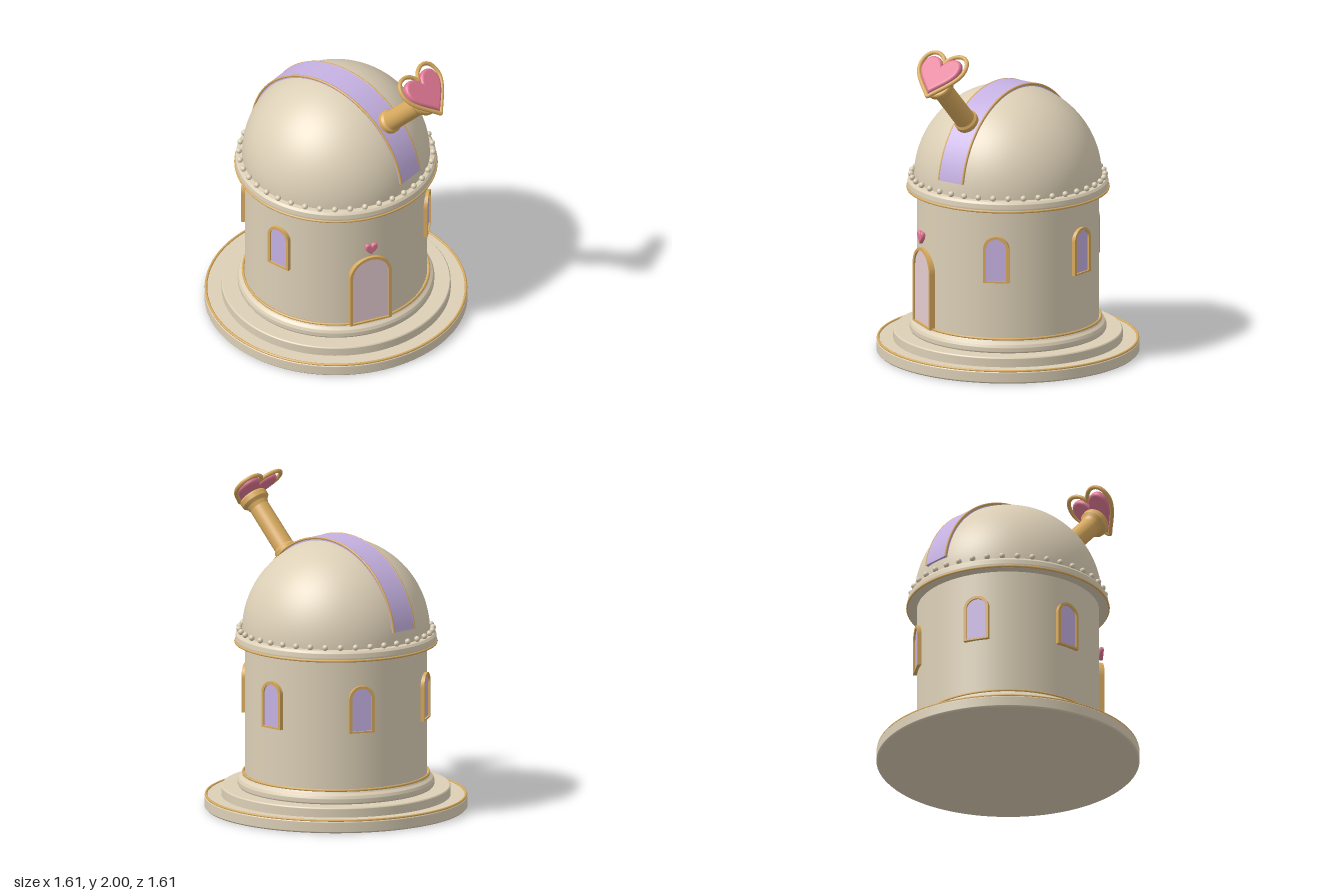
import * as THREE from 'three';

const mat = (name, color) => new THREE.MeshStandardMaterial({ name, color });

export function createModel() {
  const stone = mat('warm stone', 0xdccfb6);
  const gold = mat('gold', 0xd8aa5e);
  const lavender = mat('lavender', 0xc5b1e2);
  const rose = mat('rose', 0xdf7893);
  const blush = mat('blush door', 0xe4cbd0);

  const model = new THREE.Group();
  model.name = 'observatory';
  const add = (parent, name, geometry, material) => {
    const mesh = new THREE.Mesh(geometry, material);
    mesh.name = name;
    parent.add(mesh);
    return mesh;
  };
  // Lathe from [radius, y] pairs; each band keeps its own hard edge
  const turned = (parent, name, profile, material) => {
    const pts = [];
    profile.forEach(([r, y], i) => {
      const [pr, py] = profile[i - 1] ?? [r, y];
      // short guard segments hold the shading flat beside corners
      if (i) {
        const len = Math.hypot(r - pr, y - py), e = Math.min(0.002 / len, 0.3);
        pts.push(new THREE.Vector2(pr + (r - pr) * e, py + (y - py) * e));
        pts.push(new THREE.Vector2(r - (r - pr) * e, y - (y - py) * e));
      }
      pts.push(new THREE.Vector2(r, y));
    });
    return add(parent, name, new THREE.LatheGeometry(pts, 96), material);
  };
  const ring = (name, radius, y, tube) => {
    const mesh = add(model, name, new THREE.TorusGeometry(radius, tube, 8, 96), gold);
    mesh.rotation.x = Math.PI / 2;
    mesh.position.y = y;
  };

  // Stepped base
  turned(model, 'lower step', [[0, 0], [0.795, 0], [0.803, 0.008], [0.803, 0.068], [0.795, 0.077], [0, 0.077]], stone);
  turned(model, 'upper step', [[0.7, 0.07], [0.7, 0.13], [0.694, 0.137], [0, 0.137]], stone);
  turned(model, 'plinth', [[0.592, 0.13], [0.6, 0.145], [0.6, 0.17], [0.592, 0.188], [0.575, 0.202], [0.568, 0.215], [0, 0.215]], stone);
  ring('base trim', 0.793, 0.077, 0.008);
  ring('plinth trim', 0.567, 0.217, 0.008);

  // Round wall and cornice
  add(model, 'wall', new THREE.CylinderGeometry(0.556, 0.556, 0.84, 96, 1, true), stone).position.y = 0.62;
  turned(model, 'cornice', [[0.55, 1.022], [0.612, 1.025], [0.615, 1.05], [0.612, 1.078], [0.6, 1.092], [0.56, 1.097]], stone);
  ring('cornice trim', 0.613, 1.033, 0.008);

  // Dome with a circle of beads
  const domeY = 1.1;
  add(model, 'dome', new THREE.SphereGeometry(0.573, 96, 32, 0, Math.PI * 2, 0, Math.PI / 2 + 0.03), stone).position.y = domeY;
  const beadGeometry = new THREE.SphereGeometry(0.018, 14, 10);
  for (let i = 0; i < 40; i++) {
    const a = ((i + 0.5) / 40) * Math.PI * 2;
    add(model, 'bead', beadGeometry, stone).position.set(Math.sin(a) * 0.592, 1.112, Math.cos(a) * 0.592);
  }

  // Arched openings: flat panel inside a raised frame
  const archShape = (w, y0, y1, Type = THREE.Shape) => {
    const s = new Type();
    s.moveTo(-w, y0);
    s.lineTo(w, y0);
    s.lineTo(w, y1 - w);
    s.absarc(0, y1 - w, w, 0, Math.PI, false);
    s.lineTo(-w, y0);
    return s;
  };
  const opening = (name, angle, w, y0, y1, material) => {
    const group = new THREE.Group();
    group.name = name;
    group.rotation.y = angle;
    const t = 0.018;
    const frame = archShape(w, y0, y1);
    frame.holes.push(archShape(w - t, y0 + t * 0.6, y1 - t, THREE.Path));
    add(group, name + ' frame', new THREE.ExtrudeGeometry(frame, {
      depth: 0.042, bevelEnabled: false, curveSegments: 20,
    }), gold).position.z = 0.533;
    add(group, name + ' panel', new THREE.ExtrudeGeometry(archShape(w - t / 2, y0 + 0.005, y1 - t / 2), {
      depth: 0.03, bevelEnabled: false, curveSegments: 20,
    }), material).position.z = 0.534;
    model.add(group);
  };
  opening('door', 0, 0.136, 0.212, 0.7, blush);
  for (let i = 1; i < 6; i++) opening('window', (i * Math.PI) / 3, 0.08, 0.573, 0.865, lavender);

  // Heart outline of a given size, centred on the origin
  const heartShape = (w, h) => {
    const s = new THREE.Shape();
    s.moveTo(0, 0.27 * h);
    s.bezierCurveTo(0.08 * w, 0.55 * h, 0.5 * w, 0.6 * h, 0.5 * w, 0.2 * h);
    s.bezierCurveTo(0.5 * w, -0.05 * h, 0.2 * w, -0.28 * h, 0, -0.5 * h);
    s.bezierCurveTo(-0.2 * w, -0.28 * h, -0.5 * w, -0.05 * h, -0.5 * w, 0.2 * h);
    s.bezierCurveTo(-0.5 * w, 0.6 * h, -0.08 * w, 0.55 * h, 0, 0.27 * h);
    return s;
  };
  const pillowHeart = (w, h, bevel, depth) => new THREE.ExtrudeGeometry(heartShape(w, h), {
    depth, curveSegments: 16, bevelEnabled: true, bevelThickness: bevel, bevelSize: bevel, bevelOffset: -bevel, bevelSegments: 5,
  }).center();
  add(model, 'door heart', pillowHeart(0.08, 0.08, 0.01, 0.008), rose).position.set(0, 0.768, 0.574);

  // Dome shutter: a strip over the crown, turned 30 degrees from the front
  const roof = new THREE.Group();
  roof.name = 'dome shutter and telescope';
  roof.position.y = domeY;
  roof.rotation.y = -Math.PI / 3;
  model.add(roof);
  const a0 = 0.137, halfWidth = 0.09;
  const strip = new THREE.Shape();
  strip.absarc(0, 0, 0.586, a0, Math.PI - a0, false);
  strip.absarc(0, 0, 0.555, Math.PI - a0, a0, true);
  add(roof, 'shutter', new THREE.ExtrudeGeometry(strip, {
    depth: halfWidth * 2, bevelEnabled: false, curveSegments: 72,
  }), lavender).position.z = -halfWidth;
  for (const side of [-1, 1]) {
    const trim = add(roof, 'shutter trim', new THREE.TorusGeometry(0.581, 0.007, 8, 72, Math.PI - 2 * a0), gold);
    trim.rotation.z = a0;
    trim.position.z = side * halfWidth;
  }

  // Telescope pointing outward through the shutter
  const telescope = new THREE.Group();
  telescope.name = 'telescope';
  telescope.rotation.z = -THREE.MathUtils.degToRad(44);
  roof.add(telescope);
  turned(telescope, 'telescope tube', [
    [0, 0.55], [0.066, 0.55], [0.074, 0.59], [0.074, 0.615], [0.063, 0.63], [0.062, 0.93],
    [0.07, 0.955], [0.088, 0.975], [0.09, 1.005], [0.084, 1.015], [0, 1.015],
  ], gold);

  // Heart lens and its rim
  const lens = new THREE.Group();
  lens.name = 'heart lens';
  lens.quaternion.setFromRotationMatrix(new THREE.Matrix4().makeBasis(
    new THREE.Vector3(0, 0, -1), new THREE.Vector3(-1, 0, 0), new THREE.Vector3(0, 1, 0)));
  lens.position.set(-0.04, 1.05, 0);
  telescope.add(lens);
  add(lens, 'lens', pillowHeart(0.285, 0.26, 0.018, 0.012), rose).position.y = -0.008;
  const outline = heartShape(0.335, 0.31).getPoints(12).slice(0, -1).map((p) => new THREE.Vector3(p.x, p.y, 0));
  add(lens, 'lens rim', new THREE.TubeGeometry(
    new THREE.CatmullRomCurve3(outline, true), 120, 0.013, 10, true), gold);

  return model;
}
